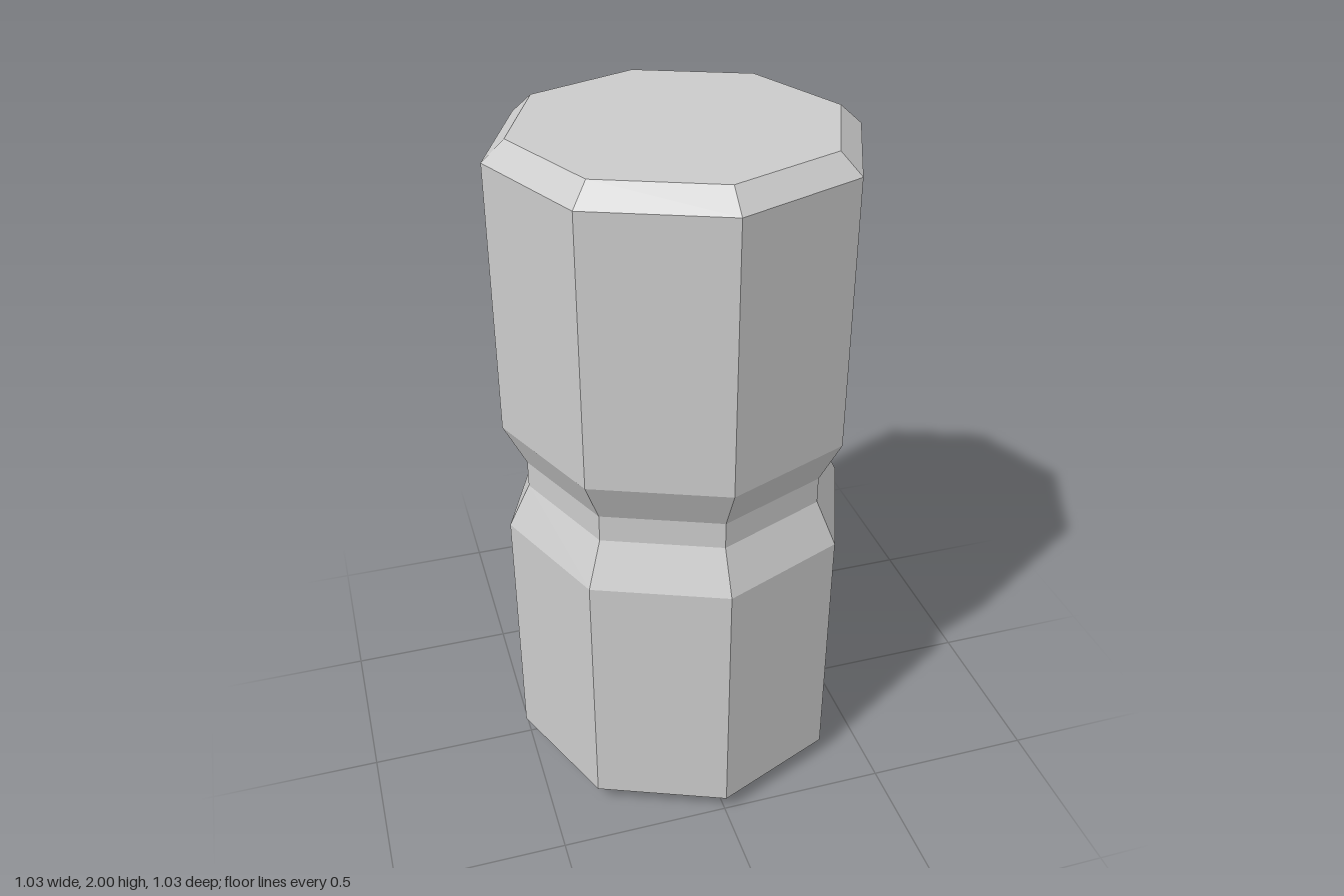
import * as THREE from 'three';

const SIDES = 8;
const OUTER = 0.513; // radius of the two drums
const INNER = 0.45;  // radius of the end faces and the waist

export function createModel() {
  const group = new THREE.Group();
  group.name = 'groovedBarrel';
  const material = new THREE.MeshStandardMaterial({ color: 0xcccccc, flatShading: true });

  // Lower half of the outline, from the bottom bevel to the waist groove
  const lower = [[INNER, 0], [OUTER, 0.056], [OUTER, 0.832], [INNER, 0.96]];
  // The upper half mirrors it about y = 1
  const upper = lower.map(([r, y]) => [r, 2 - y]).reverse();
  const profile = [...lower, ...upper].map(([r, y]) => new THREE.Vector2(r, y));

  const body = new THREE.Mesh(new THREE.LatheGeometry(profile, SIDES), material);
  body.name = 'body';
  group.add(body);

  // Flat end faces
  for (const [name, y, tilt] of [['topCap', 2, -1], ['bottomCap', 0, 1]]) {
    const cap = new THREE.Mesh(new THREE.CircleGeometry(INNER, SIDES), material);
    cap.name = name;
    cap.rotation.x = tilt * Math.PI / 2;
    cap.position.y = y;
    group.add(cap);
  }
  return group;
}
